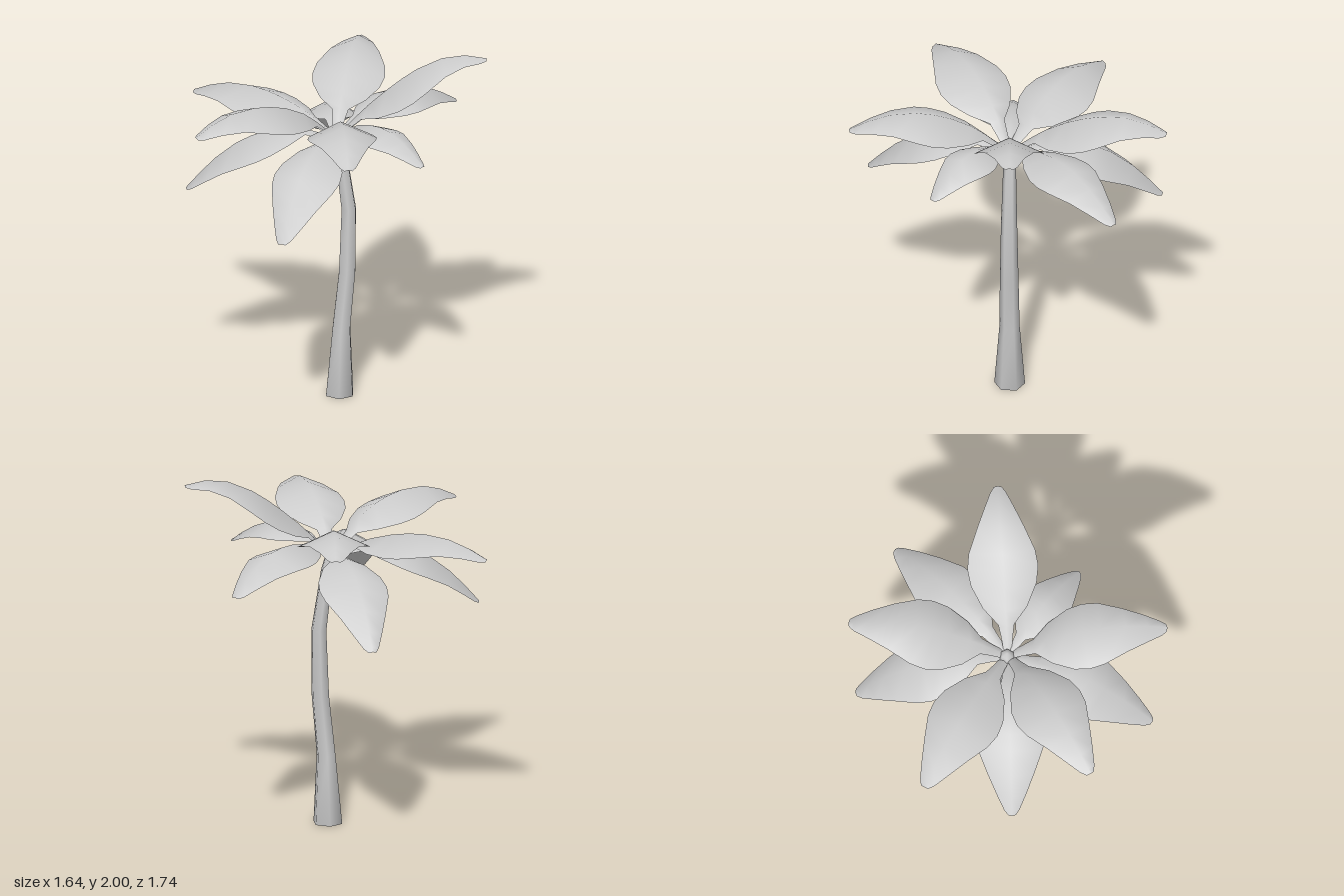
import * as THREE from 'three';
import { mergeVertices } from 'three/addons/utils/BufferGeometryUtils.js';

const bark = new THREE.MeshStandardMaterial({ color: 0xcccccc });
const leaf = new THREE.MeshStandardMaterial({ color: 0xcccccc, side: THREE.DoubleSide });

// Weld a geometry so that it shades smoothly all over
function smooth(geometry) {
  geometry.deleteAttribute('uv');
  geometry.deleteAttribute('normal');
  const welded = mergeVertices(geometry, 1e-4);
  welded.computeVertexNormals();
  return welded;
}

// Six-sided trunk: rings of [x, y, radius] from the ground up
const RINGS = [
  [0.02, 0, 0.084], [0.03, 0.39, 0.055], [0.062, 0.73, 0.051],
  [0.07, 1.1, 0.044], [0.025, 1.44, 0.035], [0.0, 1.54, 0.03],
];
function trunkGeometry() {
  const n = RINGS.length - 1;
  const g = new THREE.CylinderGeometry(1, 1, 1, 6, n);
  const p = g.attributes.position;
  for (let i = 0; i < p.count; i++) {
    const [x, y, r] = RINGS[Math.round((p.getY(i) + 0.5) * n)];
    p.setXYZ(i, x + p.getX(i) * r, y, p.getZ(i) * r - 0.004);
  }
  return smooth(g);
}

// Blade outline: [position along the rib, half width]
const OUTLINE = [
  [0, 0.02], [0.1, 0.032], [0.18, 0.045], [0.27, 0.125], [0.4, 0.185], [0.5, 0.2],
  [0.6, 0.188], [0.75, 0.135], [0.88, 0.085], [0.97, 0.045], [1, 0.022],
];

// Folded blade running out along +x; the rib passes through the given heights
function frondGeometry(length, width, heights) {
  const along = [0, 0.28, 0.58, 0.8, 1];
  const rib = new THREE.CatmullRomCurve3(
    along.map((t, i) => new THREE.Vector3(t * length, heights[i], 0)));
  const points = [], index = [];
  OUTLINE.forEach(([t, half], i) => {
    const c = rib.getPointAt(t), d = rib.getTangentAt(t);
    const w = half * width, drop = 0.45 * w;
    for (const s of [-1, 0, 1]) {
      const k = Math.abs(s) * drop;
      points.push(c.x + d.y * k, c.y - d.x * k, s * w);
    }
    if (i === 0) return;
    for (let j = 0; j < 2; j++) {
      const a = (i - 1) * 3 + j, b = a + 3;
      index.push(a, a + 1, b, b, a + 1, b + 1);
    }
  });
  const g = new THREE.BufferGeometry();
  g.setAttribute('position', new THREE.Float32BufferAttribute(points, 3));
  g.setIndex(index);
  g.computeVertexNormals();
  return g;
}

// Fronds: tip x, tip z, width factor, rib heights from root to tip
const FRONDS = [
  // upper whorl
  [0.82, -0.055, 0.97, [1.53, 1.76, 1.94, 2.0, 1.98]],
  [0.11, -0.87, 1, [1.53, 1.72, 1.82, 1.825, 1.76]],
  [-0.79, -0.46, 1, [1.53, 1.655, 1.705, 1.68, 1.6]],
  [-0.75, 0.45, 1, [1.53, 1.73, 1.8, 1.78, 1.7]],
  [0.1, 0.87, 0.95, [1.53, 1.72, 1.795, 1.775, 1.7]],
  // lower whorl
  [0.63, -0.615, 0.9, [1.53, 1.65, 1.675, 1.61, 1.5]],
  [-0.1, -0.835, 0.95, [1.52, 1.585, 1.535, 1.41, 1.22]],
  [-0.82, 0.02, 0.95, [1.52, 1.58, 1.525, 1.4, 1.22]],
  [-0.27, 0.79, 0.95, [1.52, 1.575, 1.525, 1.4, 1.22]],
  [0.49, 0.39, 0.72, [1.53, 1.645, 1.665, 1.61, 1.52]],
];

export function createModel() {
  const tree = new THREE.Group();
  tree.name = 'palmTree';

  const trunk = new THREE.Mesh(trunkGeometry(), bark);
  trunk.name = 'trunk';
  tree.add(trunk);

  // Small bud where the fronds meet
  const bud = new THREE.Mesh(smooth(new THREE.SphereGeometry(0.045, 6, 4)), bark);
  bud.name = 'crownBud';
  bud.position.set(-0.01, 1.54, -0.005);
  bud.scale.y = 1.1;
  tree.add(bud);

  const crown = new THREE.Group();
  crown.name = 'crown';
  for (const [x, z, width, heights] of FRONDS) {
    const frond = new THREE.Mesh(frondGeometry(Math.hypot(x, z), width, heights), leaf);
    frond.name = 'frond';
    frond.rotation.y = Math.atan2(-z, x);
    crown.add(frond);
  }
  tree.add(crown);
  return tree;
}
